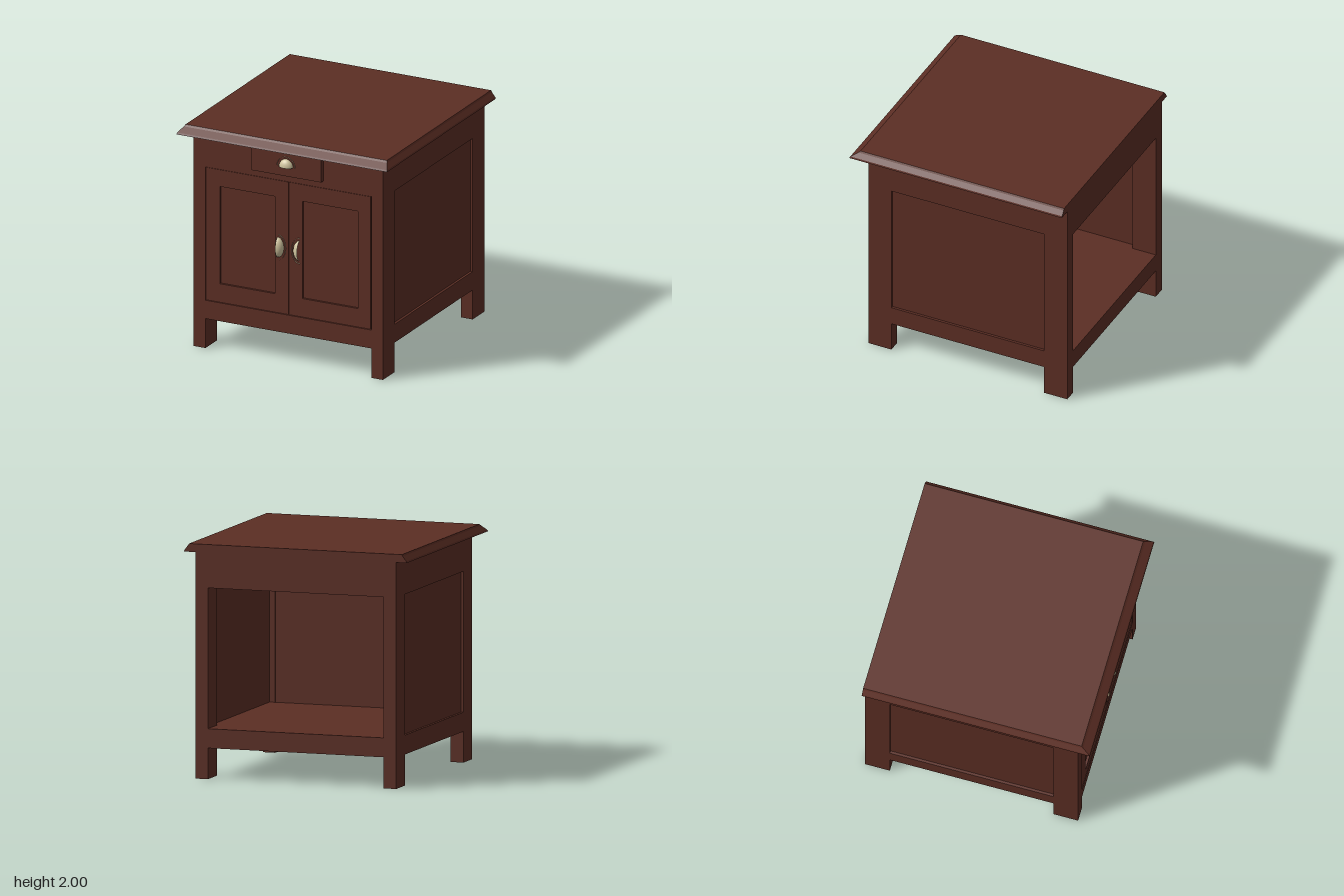
import * as THREE from 'three';

const wood = new THREE.MeshStandardMaterial({ color: 0x5c2e24 });
wood.name = 'redBrownWood';
const brass = new THREE.MeshStandardMaterial({ color: 0xd2c6a0, side: THREE.DoubleSide });
brass.name = 'paleBrass';

// Body limits
const L = -0.905, R = 0.895, BACK = -1, FRONT = 0.87;
const IL = -0.79, IR = 0.785, IB = -0.78, IF = 0.655;
const LOW = 0.43, HIGH = 1.63;

function box(parent, name, x0, x1, y0, y1, z0, z1) {
  const mesh = new THREE.Mesh(new THREE.BoxGeometry(x1 - x0, y1 - y0, z1 - z0), wood);
  mesh.position.set((x0 + x1) / 2, (y0 + y1) / 2, (z0 + z1) / 2);
  mesh.name = name;
  parent.add(mesh);
}

// Table top: stacked rectangles, moulded on the front and both sides, square at the back
function topGeometry() {
  const levels = [[0, 1.93], [0.1, 1.945], [0.8, 1.985], [1, 2]];
  const rings = levels.map(([f, y]) => {
    const x = 1 - 0.045 * f, z = 1 - 0.085 * f;
    return [[-x, y, z], [x, y, z], [x, y, -1], [-x, y, -1]];
  });
  const pos = [];
  const quad = (a, b, c, d) => pos.push(...a, ...b, ...c, ...a, ...c, ...d);
  for (let i = 0; i < rings.length - 1; i++) {
    const lo = rings[i], hi = rings[i + 1];
    for (let k = 0; k < 4; k++) {
      const n = (k + 1) % 4;
      quad(lo[k], lo[n], hi[n], hi[k]);
    }
  }
  quad(...rings[rings.length - 1]);
  quad(...[...rings[0]].reverse());
  const geo = new THREE.BufferGeometry();
  geo.setAttribute('position', new THREE.Float32BufferAttribute(pos, 3));
  geo.computeVertexNormals();
  return geo;
}

// Door: a frame around a sunken panel
function door(name, x0, x1, px0, px1) {
  const group = new THREE.Group();
  group.name = name;
  const rect = (path, a, b, c, d) => path.moveTo(a, c).lineTo(b, c).lineTo(b, d).lineTo(a, d).closePath();
  const shape = rect(new THREE.Shape(), x0, x1, LOW + 0.004, HIGH - 0.004);
  shape.holes.push(rect(new THREE.Path(), px0, px1, 0.6, 1.475));
  const geo = new THREE.ExtrudeGeometry(shape, { depth: 0.1, bevelEnabled: false });
  const frame = new THREE.Mesh(geo, wood);
  frame.position.z = FRONT - 0.104;
  frame.name = 'doorFrame';
  group.add(frame);
  box(group, 'doorPanel', px0, px1, 0.6, 1.475, FRONT - 0.08, FRONT - 0.025);
  return group;
}

// Cup pull: quarter ellipsoid open on its flat edge, with a thin rim band
function cupPull(name, halfWidth, height, depth, rimWidth, rimHeight) {
  const group = new THREE.Group();
  group.name = name;
  const cup = new THREE.Mesh(new THREE.SphereGeometry(1, 24, 12, 0, Math.PI, 0, Math.PI / 2), brass);
  cup.scale.set(halfWidth, height, depth);
  cup.name = 'cup';
  const band = new THREE.CylinderGeometry(1, 1, 1, 24, 1, true, Math.PI / 2, Math.PI);
  band.rotateX(Math.PI / 2);
  const rim = new THREE.Mesh(band, brass);
  rim.scale.set(rimWidth, rimHeight, 0.008);
  rim.position.z = 0.004;
  rim.name = 'rim';
  group.add(cup, rim);
  return group;
}

export function createModel() {
  const model = new THREE.Group();
  model.name = 'bedsideCabinet';

  const top = new THREE.Mesh(topGeometry(), wood);
  top.name = 'tableTop';
  model.add(top);

  // Solid upper and lower sections, leaving the back open between them
  box(model, 'upperSection', L, R, HIGH, 1.93, BACK, FRONT);
  box(model, 'lowerSection', L, R, 0.265, LOW, BACK, FRONT);

  // Corner posts and legs
  for (const [x0, x1] of [[L, IL], [IR, R]]) {
    for (const [z0, z1] of [[BACK, IB], [IF, FRONT]]) {
      box(model, 'leg', x0, x1, 0, 0.265, z0, z1);
      box(model, 'cornerPost', x0, x1, LOW, HIGH, z0, z1);
    }
  }

  // Sunken side panels
  box(model, 'rightSidePanel', L + 0.022, IL - 0.05, LOW, HIGH, IB, IF);
  box(model, 'leftSidePanel', IR + 0.05, R - 0.022, LOW, HIGH, IB, IF);

  // Front wall behind the doors
  box(model, 'frontWall', IL, IR, LOW, HIGH, IF + 0.003, FRONT - 0.08);
  model.add(door('rightDoor', IL + 0.004, -0.002, -0.655, -0.13));
  model.add(door('leftDoor', 0.002, IR - 0.01, 0.13, 0.655));

  // Drawer
  box(model, 'drawerFront', -0.332, 0.332, 1.695, 1.92, FRONT - 0.02, 0.915);
  const drawerPull = cupPull('drawerPull', 0.065, 0.07, 0.046, 0.085, 0.09);
  drawerPull.position.set(0, 1.78, 0.915);
  model.add(drawerPull);

  // Door pulls, domes turned towards the centre
  for (const s of [-1, 1]) {
    const pull = cupPull(s > 0 ? 'leftDoorPull' : 'rightDoorPull', 0.09, 0.057, 0.052, 0.115, 0.075);
    pull.rotation.z = s * Math.PI / 2;
    pull.position.set(s * 0.104, 1.025, FRONT - 0.003);
    model.add(pull);
  }
  return model;
}
